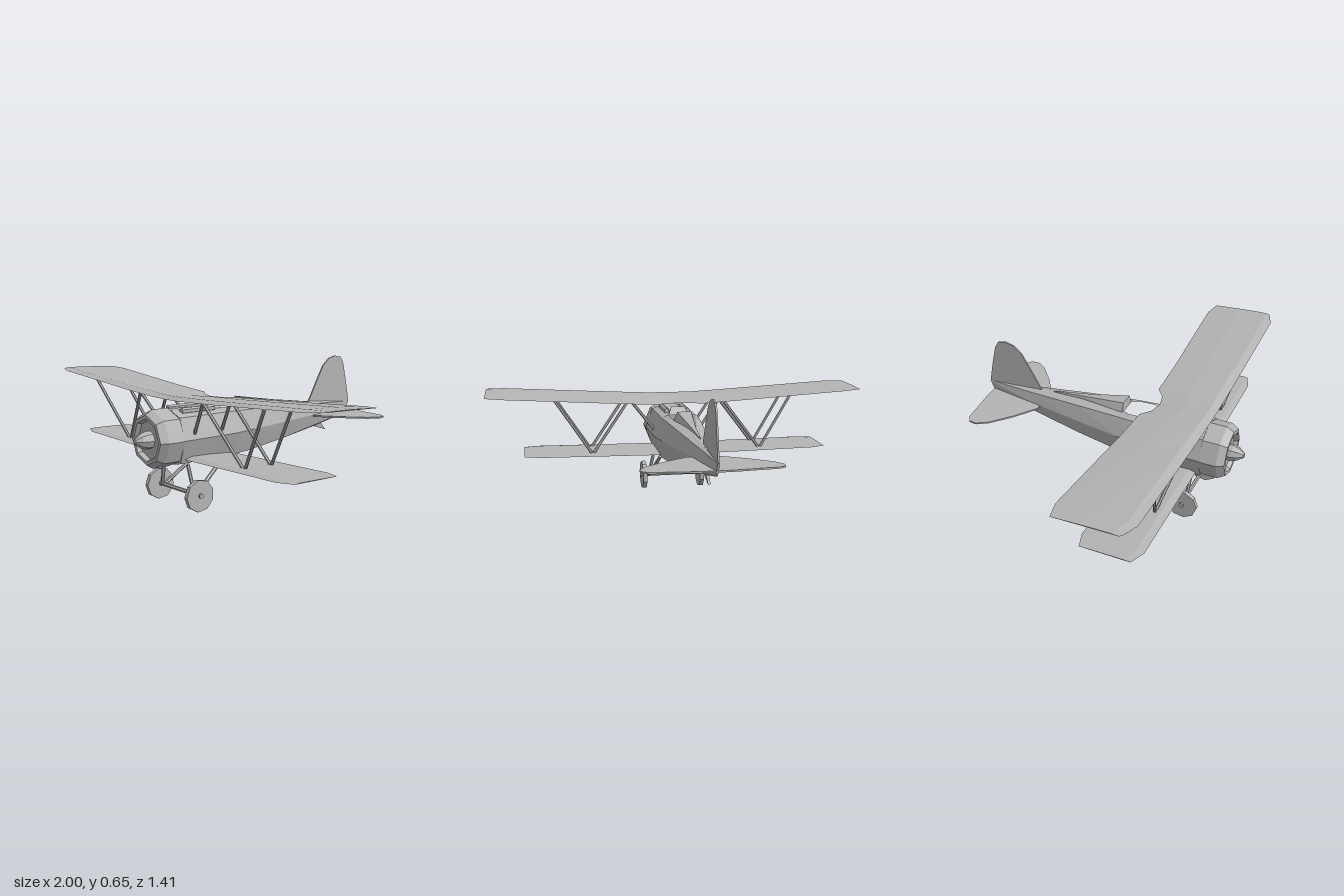
import * as THREE from 'three';

const grey = new THREE.MeshStandardMaterial({ color: 0xb4b4b4 });
grey.name = 'grey';
grey.flatShading = true;
const greyThin = grey;

// Skin through rings of points; rings run counter-clockwise seen from the far end.
function loft(rings, { skip = () => false, caps = true } = {}) {
  const pos = [];
  const tri = (...pts) => pts.forEach((p) => pos.push(...p));
  const n = rings[0].length;
  for (let i = 0; i < rings.length - 1; i++) {
    for (let j = 0; j < n; j++) {
      if (skip(i, j)) continue;
      const k = (j + 1) % n;
      const [a, b, c, d] = [rings[i][j], rings[i][k], rings[i + 1][k], rings[i + 1][j]];
      tri(a, b, c);
      tri(a, c, d);
    }
  }
  if (caps) {
    const first = rings[0], last = rings[rings.length - 1];
    for (let j = 1; j < n - 1; j++) {
      tri(first[0], first[j + 1], first[j]);
      tri(last[0], last[j], last[j + 1]);
    }
  }
  const g = new THREE.BufferGeometry();
  g.setAttribute('position', new THREE.Float32BufferAttribute(pos, 3));
  g.computeVertexNormals();
  return g;
}

function plate(points, depth) {
  const shape = new THREE.Shape(points.map(([x, y]) => new THREE.Vector2(x, y)));
  return new THREE.ExtrudeGeometry(shape, { depth, bevelEnabled: false }).translate(0, 0, -depth / 2);
}

export function createModel() {
  const model = new THREE.Group();
  const add = (name, geometry, parent = model) => {
    const mesh = new THREE.Mesh(geometry, greyThin);
    mesh.name = name;
    parent.add(mesh);
    return mesh;
  };
  const rod = (name, from, to, r = 0.008, sides = 6) => {
    const a = new THREE.Vector3(...from), b = new THREE.Vector3(...to);
    const mesh = add(name, new THREE.CylinderGeometry(r, r, a.distanceTo(b), sides));
    mesh.position.copy(a).lerp(b, 0.5);
    mesh.quaternion.setFromUnitVectors(new THREE.Vector3(0, 1, 0), b.sub(a).normalize());
    return mesh;
  };

  // Fuselage: z, top y, top half width, shoulder y/w, middle y/w, low y/w, bottom y, slant
  const stations = [
    [-0.70, 0.392, 0.002, 0.388, 0.004, 0.36, 0.006, 0.33, 0.004, 0.322, 0.42],
    [-0.45, 0.412, 0.010, 0.403, 0.030, 0.352, 0.042, 0.295, 0.028, 0.279, 0],
    [-0.15, 0.434, 0.025, 0.423, 0.065, 0.345, 0.087, 0.255, 0.062, 0.235, 0],
    [0.085, 0.447, 0.045, 0.435, 0.088, 0.341, 0.120, 0.233, 0.088, 0.214, 0],
    [0.125, 0.449, 0.062, 0.436, 0.092, 0.340, 0.126, 0.230, 0.092, 0.211, 0],
    [0.21, 0.453, 0.062, 0.438, 0.098, 0.338, 0.135, 0.227, 0.098, 0.207, 0],
    [0.25, 0.456, 0.035, 0.439, 0.099, 0.338, 0.136, 0.226, 0.099, 0.206, 0],
    [0.52, 0.467, 0.025, 0.440, 0.100, 0.337, 0.137, 0.225, 0.100, 0.204, 0],
  ];
  const rings = stations.map(([z, yT, wT, yS, wS, yM, wM, yL, wL, yB, slant]) =>
    [[wM, yM], [wS, yS], [wT, yT], [-wT, yT], [-wS, yS], [-wM, yM], [-wL, yL], [0, yB], [wL, yL]]
      .map(([x, y]) => [x, y, z + (yT - y) * slant]));
  add('fuselage', loft(rings, { skip: (i, j) => j === 2 && i >= 3 && i <= 5 }));

  // Cockpit tub, seen from the inside
  const rim = [3, 4, 5, 6].map((i) => rings[i][2]);
  const loop = [...rim, ...rim.slice().reverse().map(([x, y, z]) => [-x, y, z])];
  const sunk = loop.map(([x, , z]) => [x, 0.33, z]);
  add('cockpitTub', loft([loop, sunk], { caps: false }));
  const floor = add('cockpitFloor', new THREE.BoxGeometry(0.12, 0.006, 0.15));
  floor.position.set(0, 0.332, 0.168);

  // Headrest fairing, a ridge running back to the fin
  const ridge = (z, w, base, top) => [[w, base, z], [w * 0.6, top, z], [-w * 0.6, top, z], [-w, base, z]];
  add('headrest', loft([ridge(-0.32, 0.004, 0.41, 0.426), ridge(-0.15, 0.02, 0.42, 0.449), ridge(0.085, 0.06, 0.435, 0.487)]));

  // Windscreen
  add('windscreen', loft([
    [[0.055, 0.445, 0.24], [0.035, 0.487, 0.268], [-0.035, 0.487, 0.268], [-0.055, 0.445, 0.24]],
    [[0.045, 0.445, 0.31], [0.032, 0.486, 0.278], [-0.032, 0.486, 0.278], [-0.045, 0.445, 0.31]],
  ]));

  // Octagonal cowl with recessed face, and spinner
  const turned = (name, profile) => {
    const g = new THREE.LatheGeometry(profile.map(([r, z]) => new THREE.Vector2(r, z)), 8);
    add(name, g.rotateX(Math.PI / 2)).position.y = 0.337;
  };
  turned('cowl', [[0, 0.51], [0.132, 0.51], [0.139, 0.52], [0.139, 0.605], [0.118, 0.64], [0.1, 0.64], [0.092, 0.618], [0, 0.618]]);
  turned('spinner', [[0.042, 0.615], [0.042, 0.645], [0.033, 0.672], [0.012, 0.701], [0, 0.705]]);

  // Wings: x, leading z, trailing z, y and thickness, mirrored across the centre
  const wing = (name, half, drop) => {
    const left = half.slice().reverse().map(([x, ...rest]) => [-x, ...rest]);
    const all = [...left, ...half.filter(([x]) => x > 0)];
    add(name, loft(all.map(([x, lead, trail, y, t]) => {
      const chord = lead - trail;
      return [
        [x, y - drop, trail],
        [x, y + t * 0.6 - drop * 0.4, trail + chord * 0.45],
        [x, y + t * 0.8, lead - chord * 0.12],
        [x, y, lead],
        [x, y - t * 0.3, lead - chord * 0.1],
        [x, y - t * 0.1 - drop * 0.5, trail + chord * 0.45],
      ];
    })));
  };
  wing('upperWing', [
    [0, 0.54, 0.262, 0.518, 0.018], [0.07, 0.54, 0.245, 0.519, 0.018], [0.12, 0.54, 0.205, 0.52, 0.018],
    [0.35, 0.541, 0.202, 0.533, 0.016], [0.91, 0.541, 0.18, 0.57, 0.01], [0.99, 0.512, 0.197, 0.575, 0.004], [1, 0.5, 0.2, 0.575, 0.003],
  ], 0.012);
  wing('lowerWing', [
    [0, 0.5, 0.21, 0.243, 0.014], [0.14, 0.5, 0.21, 0.244, 0.014], [0.73, 0.5, 0.2, 0.255, 0.008], [0.81, 0.47, 0.225, 0.257, 0.003],
  ], 0.005);

  // Tail surfaces
  const halfTail = [[0, -0.38], [0.08, -0.38], [0.19, -0.455], [0.29, -0.54], [0.325, -0.595], [0.32, -0.635], [0.29, -0.655], [0.1, -0.675], [0, -0.68]];
  const otherTail = halfTail.slice(1, -1).reverse().map(([x, z]) => [-x, z]);
  add('tailplane', plate([...halfTail, ...otherTail], 0.008).rotateX(Math.PI / 2)).position.y = 0.346;
  add('fin', plate([
    [-0.39, 0.41], [-0.45, 0.515], [-0.5, 0.6], [-0.545, 0.637], [-0.59, 0.648], [-0.635, 0.638],
    [-0.655, 0.605], [-0.68, 0.5], [-0.702, 0.39], [-0.67, 0.35],
  ], 0.008).rotateY(-Math.PI / 2));
  add('tailSkid', plate([[-0.41, 0.285], [-0.52, 0.25], [-0.485, 0.29]], 0.012).rotateY(-Math.PI / 2));

  // Parts repeated on both sides
  rod('axle', [-0.18, 0.078, 0.46], [0.18, 0.078, 0.46], 0.01);
  for (const s of [1, -1]) {
    // Zigzag wing struts, front and rear
    for (const [zTop, zLow] of [[0.5, 0.435], [0.34, 0.28]]) {
      rod('outerStrut', [s * 0.66, 0.547, zTop], [s * 0.46, 0.25, zLow]);
      rod('innerStrut', [s * 0.25, 0.524, zTop], [s * 0.45, 0.25, zLow]);
      rod('cabaneStrut', [s * 0.25, 0.524, zTop], [s * 0.125, 0.365, zTop - 0.045]);
    }
    // Landing gear
    rod('frontLeg', [s * 0.095, 0.215, 0.475], [s * 0.13, 0.078, 0.465], 0.009);
    rod('rearLeg', [s * 0.095, 0.22, 0.265], [s * 0.13, 0.078, 0.45], 0.01);
    const wheel = add('wheel', new THREE.CylinderGeometry(0.077, 0.077, 0.022, 9).rotateZ(Math.PI / 2));
    wheel.position.set(s * 0.16, 0.077, 0.46);
    const hub = add('hub', new THREE.CylinderGeometry(0.012, 0.012, 0.04, 8).rotateZ(Math.PI / 2));
    hub.position.set(s * 0.16, 0.078, 0.46);
    // Tubes on the forward deck
    rod('deckTube', [s * 0.055, 0.46, 0.29], [s * 0.055, 0.462, 0.48], 0.015);
  }
  return model;
}
